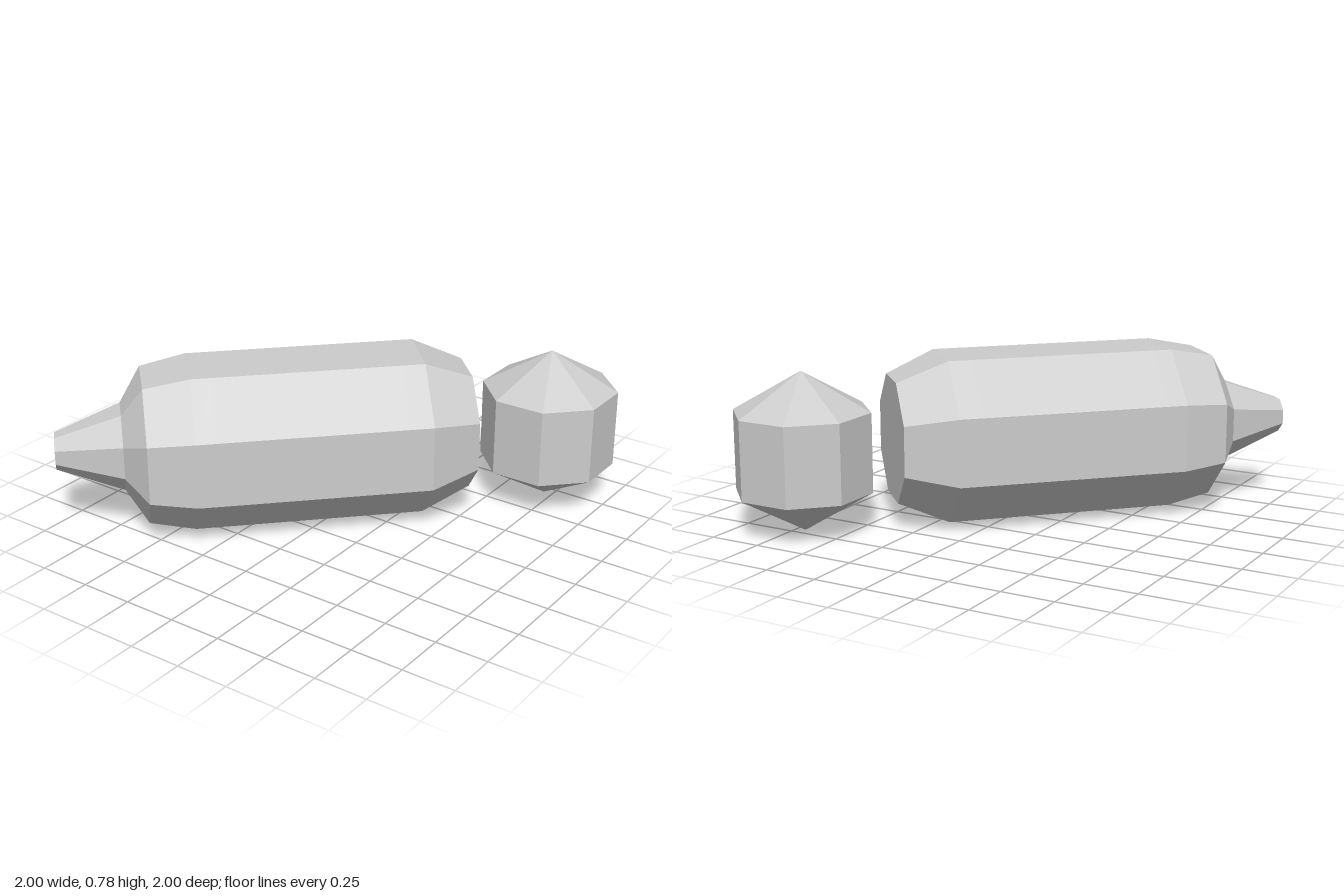
import * as THREE from 'three';

const SIDES = 8;
const CORNER = 1 / Math.cos(Math.PI / SIDES); // flat-to-corner radius ratio

export function createModel() {
  const model = new THREE.Group();
  model.name = 'bottleAndCap';
  const grey = new THREE.MeshStandardMaterial({ color: 0xcccccc, flatShading: true });
  grey.name = 'plain grey';

  // Octagonal solid from [flat radius, position along axis] pairs
  function octagon(name, profile) {
    const points = profile.map(([r, y]) => new THREE.Vector2(r * CORNER, y));
    const geometry = new THREE.LatheGeometry(points, SIDES, Math.PI / SIDES);
    const mesh = new THREE.Mesh(geometry, grey);
    mesh.name = name;
    return mesh;
  }

  // Bottle lying on its side, nozzle towards front right
  const bottle = new THREE.Group();
  bottle.name = 'bottle';
  bottle.add(
    octagon('nozzle', [[0, -1.336], [0.079, -1.336], [0.187, -1.03]]),
    octagon('shoulder', [[0.187, -1.03], [0.336, -0.93], [0.377, -0.718], [0.377, -0.626]]),
    octagon('labelBand', [[0.377, -0.626], [0.377, 0.244]]),
    octagon('base', [[0.377, 0.244], [0.377, 0.352], [0.281, 0.585], [0, 0.585]]),
  );
  bottle.rotation.set(-Math.PI / 2, -Math.PI / 4, 0, 'YXZ');
  bottle.position.y = 0.407;
  model.add(bottle);

  // Loose cap, pointed at both ends
  const cap = octagon('cap', [[0, 0], [0.296, 0.188], [0.296, 0.56], [0, 0.745]]);
  cap.position.set(0.704, 0, -0.704);
  model.add(cap);

  return model;
}
